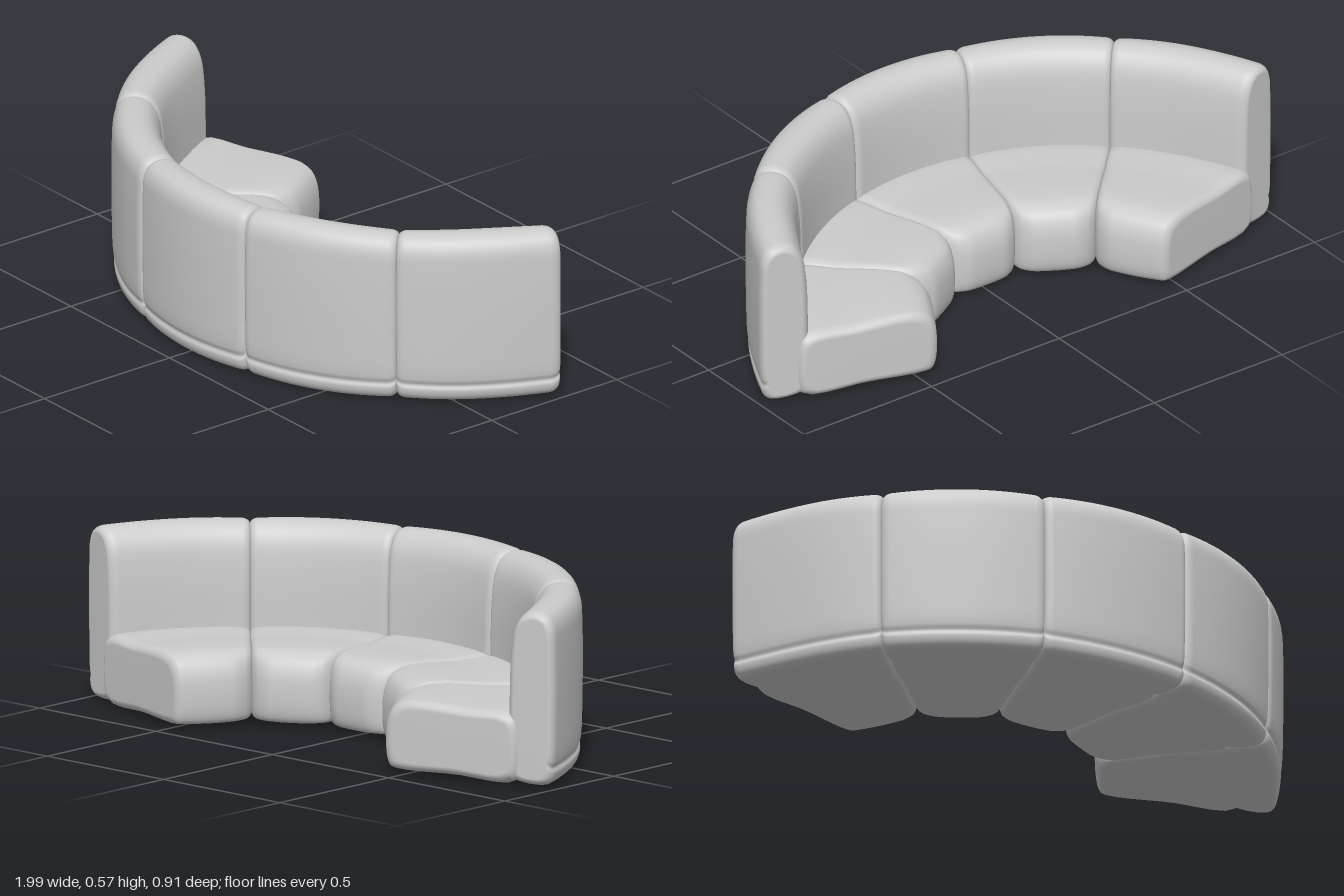
import * as THREE from 'three';

const CENTER_Z = -0.585;
const RAD = Math.PI / 180;
const material = new THREE.MeshStandardMaterial({ color: 0xcccccc });

// Smooth closed outline (radius, height), counter-clockwise
function outline(points, count) {
  const curve = new THREE.CatmullRomCurve3(points.map(([r, y]) => new THREE.Vector3(r, y, 0)), true, 'centripetal');
  return curve.getPoints(count).slice(0, count);
}

const backOutline = outline([
  [1.0, 0.004], [1.02, 0.018], [1.028, 0.045], [1.023, 0.06], [1.03, 0.08], [1.035, 0.2], [1.035, 0.45],
  [1.029, 0.52], [1.008, 0.553], [0.965, 0.566], [0.92, 0.553], [0.888, 0.51], [0.872, 0.42],
  [0.866, 0.25], [0.866, 0.06], [0.88, 0.018], [0.92, 0.004],
], 72);

// Seat radius is measured from the seat's front edge, 0 = front, 1 = back
const seatOutline = outline([
  [0.97, 0.012], [1, 0.05], [1, 0.18], [0.97, 0.222], [0.6, 0.236], [0.25, 0.243], [0.13, 0.236],
  [0.05, 0.212], [0.012, 0.17], [0, 0.11], [0.008, 0.05], [0.03, 0.022], [0.08, 0.012], [0.5, 0.01],
], 64);

// Sweep an outline round the arc; the ends are rounded by shrinking the outline.
// ends: [{ width, inset }, { width, inset }]; place(point, t) gives the radius, t = -1..1
function cushion(name, profile, from, to, ends, midRadius, place, core) {
  const half = (to - from) / 2, mid = (to + from) / 2, halfArc = half * midRadius;
  const rings = [];
  const steps = 7;
  for (let k = 0; k <= steps; k++) {
    const a = (k / steps) * Math.PI / 2;
    rings.push([-1 + (1 - Math.cos(a)) * ends[0].width / halfArc, (1 - Math.sin(a)) * ends[0].inset]);
  }
  const t0 = rings[steps][0], t1 = 1 - ends[1].width / halfArc;
  for (let k = 1; k < 16; k++) rings.push([t0 + (t1 - t0) * k / 16, 0]);
  for (let k = steps; k >= 0; k--) {
    const a = (k / steps) * Math.PI / 2;
    rings.push([1 - (1 - Math.cos(a)) * ends[1].width / halfArc, (1 - Math.sin(a)) * ends[1].inset]);
  }

  const n = profile.length, pos = [], index = [];
  const push = (r, y, t) => {
    const angle = mid + half * t;
    pos.push(r * Math.sin(angle), y, CENTER_Z + r * Math.cos(angle));
  };
  for (const [t, inset] of rings) {
    const d = inset + 0.005 * t * t;
    const rc = place(core, t);
    for (const p of profile) {
      const r = place(p, t);
      push(rc + (r - rc) * (1 - d / core.halfR), core.y + (p.y - core.y) * (1 - d / core.halfY), t);
    }
  }
  for (let i = 0; i < rings.length - 1; i++) {
    for (let j = 0; j < n; j++) {
      const a = i * n + j, b = i * n + (j + 1) % n;
      index.push(a, a + n, b, b, a + n, b + n);
    }
  }
  // End caps
  const startCenter = pos.length / 3, last = (rings.length - 1) * n;
  push(place(core, -1), core.y, -1);
  push(place(core, 1), core.y, 1);
  for (let j = 0; j < n; j++) {
    const k = (j + 1) % n;
    index.push(startCenter, j, k, startCenter + 1, last + k, last + j);
  }

  const geometry = new THREE.BufferGeometry();
  geometry.setAttribute('position', new THREE.Float32BufferAttribute(pos, 3));
  geometry.setIndex(index);
  geometry.computeVertexNormals();
  const mesh = new THREE.Mesh(geometry, material);
  mesh.name = name;
  return mesh;
}

export function createModel() {
  const group = new THREE.Group();
  group.name = 'curvedSofa';
  const seams = [-43.8, -14.6, 14.6, 43.8];
  const backEdges = [-73.2, ...seams, 73.2];
  const seatEdges = [-74.3, ...seams, 74.3];

  for (let i = 0; i < 5; i++) {
    // Which sides of this section are free ends of the sofa
    const open = [i === 0, i === 4];
    const isOpen = (t) => (t < 0 ? open[0] : open[1]);

    // Backrest section
    const flare = (p, t) => p.x + (isOpen(t) ? 0.018 * t * t : 0);
    group.add(cushion('backrest' + (i + 1), backOutline, backEdges[i] * RAD, backEdges[i + 1] * RAD,
      open.map((o) => (o ? { width: 0.035, inset: 0.022 } : { width: 0.028, inset: 0.016 })),
      1, flare, { x: 0.95, y: 0.285, halfR: 0.085, halfY: 0.28 }));

    // Seat cushion with a straight front and rounded front corners
    const half = (seatEdges[i + 1] - seatEdges[i]) / 2 * RAD;
    const seatRadius = (p, t) => {
      const s = Math.max(0, (Math.abs(t) - 0.5) / 0.5);
      const front = 0.443 / Math.cos(half * t) + (isOpen(t) ? 0 : 0.03 * s * s);
      return front + (0.93 - front) * p.x;
    };
    group.add(cushion('seat' + (i + 1), seatOutline, seatEdges[i] * RAD, seatEdges[i + 1] * RAD,
      open.map((o) => (o ? { width: 0.03, inset: 0.026 } : { width: 0.026, inset: 0.016 })),
      0.65, seatRadius, { x: 0.5, y: 0.125, halfR: 0.24, halfY: 0.115 }));
  }
  return group;
}
